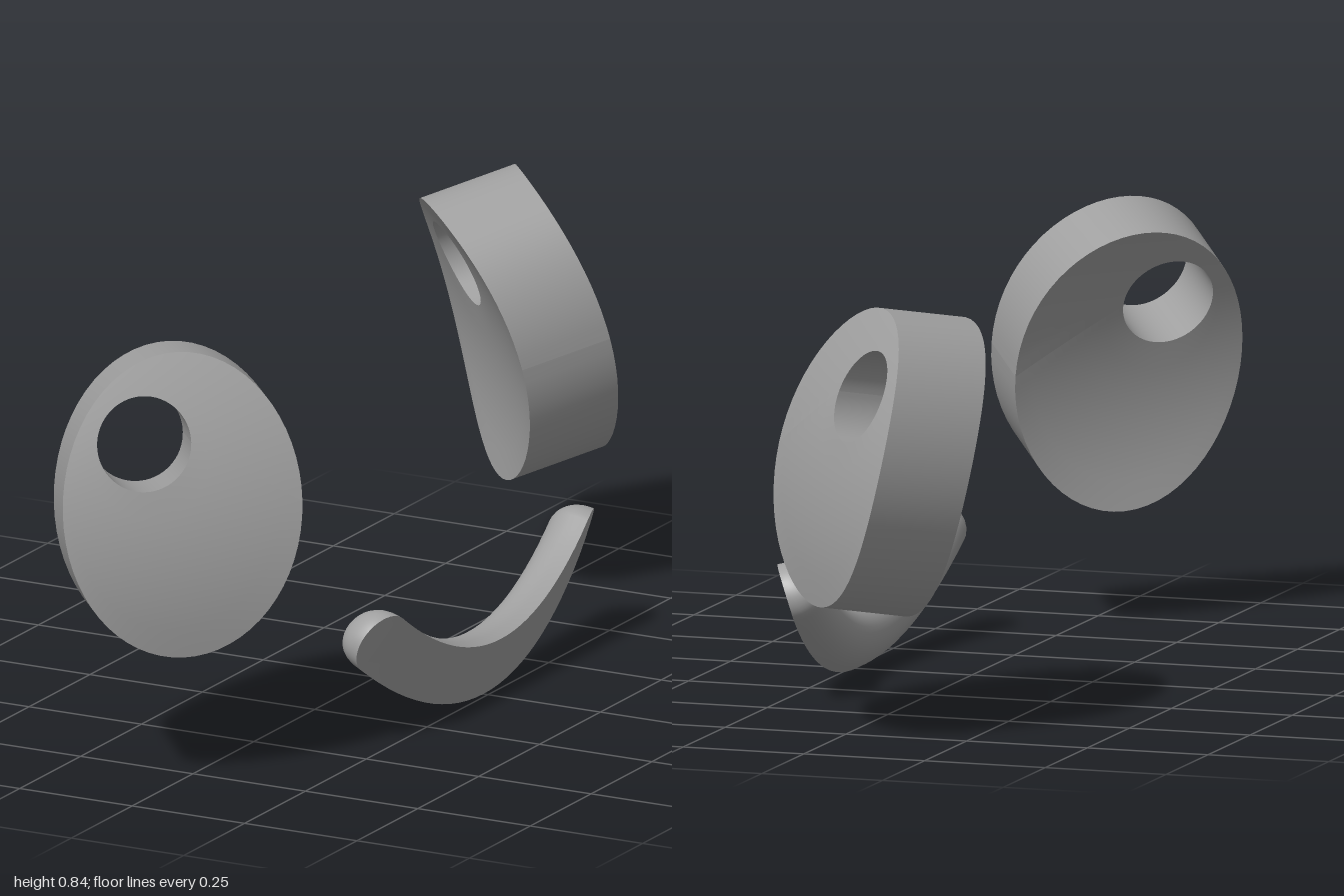
import * as THREE from 'three';

const grey = new THREE.MeshStandardMaterial({ color: 0xa0a0a0, side: THREE.DoubleSide });
grey.name = 'plain grey';

// Smooth surface patch from a rule p(i / nu, j / nv) -> [x, y, z]
function patch(name, nu, nv, p) {
  const pos = [], index = [];
  for (let i = 0; i <= nu; i++) for (let j = 0; j <= nv; j++) pos.push(...p(i / nu, j / nv));
  for (let i = 0; i < nu; i++) for (let j = 0; j < nv; j++) {
    const a = i * (nv + 1) + j, b = a + nv + 1;
    index.push(a, b, a + 1, b, b + 1, a + 1);
  }
  const g = new THREE.BufferGeometry();
  g.setAttribute('position', new THREE.Float32BufferAttribute(pos, 3));
  g.setIndex(index);
  g.computeVertexNormals();
  const mesh = new THREE.Mesh(g, grey);
  mesh.name = name;
  return mesh;
}

// Oval eye: an ellipse pushed along a slanted axis, with bowed faces and a round hole
function makeEye(side) {
  const W = new THREE.Vector3(0.536, 0.185, 0.824).normalize();
  const U = new THREE.Vector3(0.838, 0, -0.545).normalize();
  const V = new THREE.Vector3().crossVectors(W, U);
  const place = (du, dv, back) => {
    const front = 0.791 - 0.254 * du - 0.082 * dv - 0.2 * du * du - 0.69 * dv * dv;
    const w = front - back * (0.211 - 0.05 * du);
    const q = new THREE.Vector3()
      .addScaledVector(U, du - 0.434).addScaledVector(V, dv + 0.425).addScaledVector(W, w);
    return [q.x, q.y, q.z * side];
  };
  // t = 0 on the hole, 1 on the outer rim
  const at = (s, t, back) => {
    const a = s * Math.PI * 2, c = Math.cos(a), n = Math.sin(a);
    const du = (1 - t) * (-0.074 + 0.094 * c) + t * 0.24 * c;
    const dv = (1 - t) * (0.126 + 0.092 * n) + t * 0.298 * n;
    return place(du, dv, back);
  };
  // reversing the sweep keeps the mirrored eye facing outward
  const dir = (s) => (side > 0 ? s : 1 - s);
  const eye = new THREE.Group();
  eye.name = side > 0 ? 'frontEye' : 'backEye';
  eye.add(
    patch('eyeFace', 64, 6, (s, t) => at(dir(s), 1 - t, 0)),
    patch('eyeBack', 64, 6, (s, t) => at(dir(s), t, 1)),
    patch('eyeRim', 64, 2, (s, t) => at(dir(s), 1, 1 - t)),
    patch('eyeHole', 64, 2, (s, t) => at(dir(s), 0, t)),
  );
  return eye;
}

// Smile: curved bar with a flat outer face, a domed inner side and round ends
function makeMouth() {
  const r = 0.059, end = 0.415;
  // rows along the bar: round cap, body, round cap
  const rows = [];
  for (let i = 0; i <= 10; i++) rows.push([-end, -Math.cos(i / 10 * Math.PI / 2)]);
  for (let i = 1; i < 28; i++) rows.push([-end + 2 * end * i / 28, 0]);
  for (let i = 0; i <= 10; i++) rows.push([end, Math.sin(i / 10 * Math.PI / 2)]);
  const n = rows.length - 1;
  const at = (s, across, lift) => {
    const [z0, cap] = rows[Math.round(s * n)];
    const k = Math.sqrt(Math.max(0, 1 - cap * cap));
    const slope = 1.76 * z0, len = Math.hypot(1, slope);
    const z = z0 + r * (cap - across * k * slope) / len;
    const y = 0.059 + 0.88 * z0 * z0 + r * (cap * slope + across * k) / len;
    const x = 0.24 + 0.33 * y - 0.41 * z * z;
    const h = k * lift;
    return [x - (0.077 - 0.03 * z0 * z0) * h, y + (0.034 - 0.07 * z0 * z0) * h, z - 0.033 * z0 * h];
  };
  const mouth = new THREE.Group();
  mouth.name = 'mouth';
  mouth.add(
    patch('mouthFlatFace', n, 6, (s, t) => at(s, 2 * t - 1, 0)),
    patch('mouthDome', n, 16, (s, t) =>
      at(s, Math.cos(t * Math.PI), Math.max(0, Math.sin(t * Math.PI)) ** 0.8)),
  );
  return mouth;
}

export function createModel() {
  const model = new THREE.Group();
  model.name = 'smilingFace';
  model.add(makeEye(1), makeEye(-1), makeMouth());
  return model;
}
